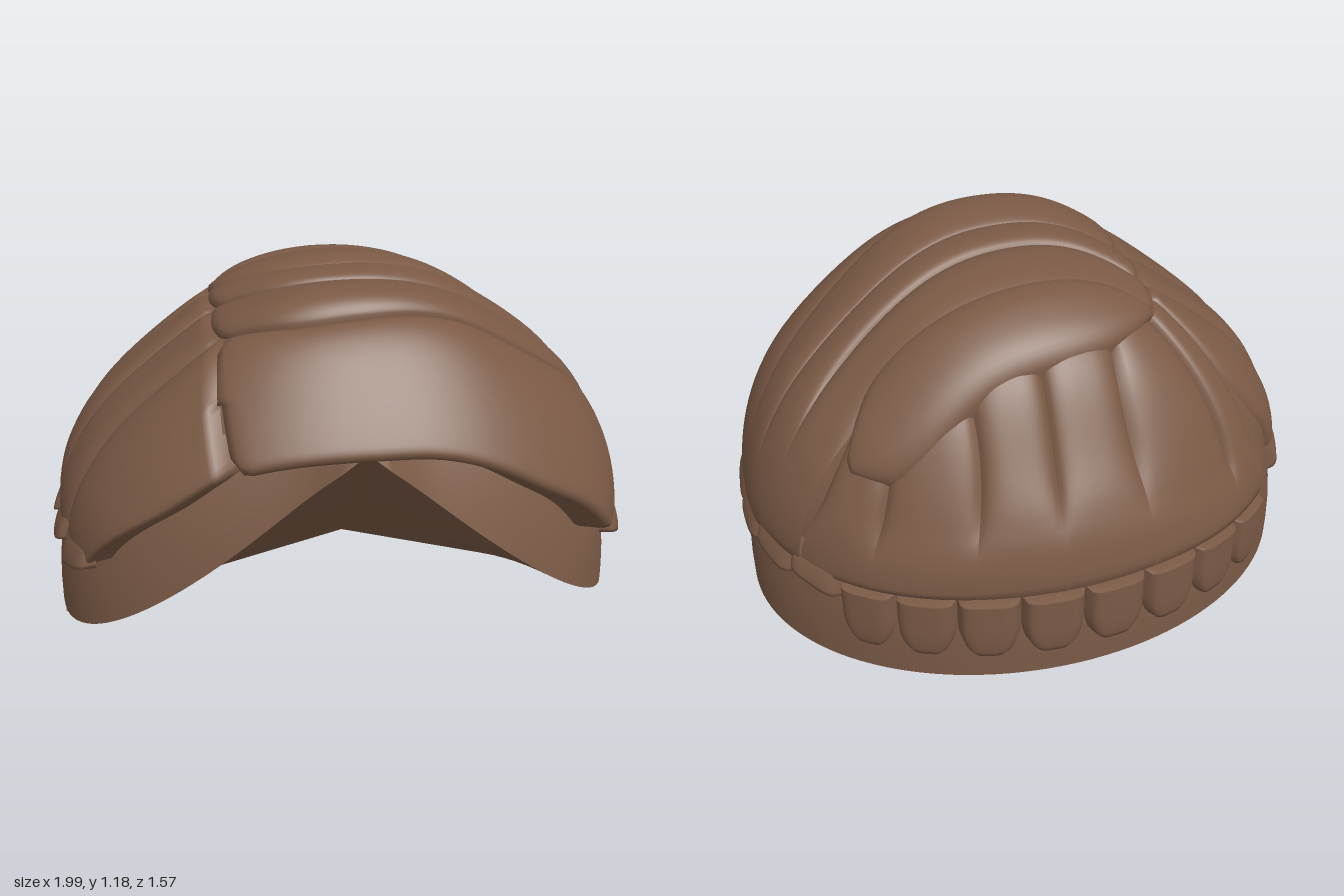
import * as THREE from 'three';

const hair = new THREE.MeshStandardMaterial({ color: 0x7b5a46, side: THREE.DoubleSide });
hair.name = 'brown hair';

const RX = 0.955, RY = 0.83, Y0 = 0.33;
const rz = z => (z > 0 ? 0.905 : 0.74);
const V = (x, y, z) => new THREE.Vector3(x, y, z);
const bell = (x, c, w) => Math.exp(-(((x - c) / w) ** 2));

// Smooth grid surface from a rule fn(u, v), wound to face away from the dome centre
function grid(name, fn, nu, nv) {
  const pos = [], idx = [];
  for (let i = 0; i <= nu; i++) for (let j = 0; j <= nv; j++) pos.push(...fn(i / nu, j / nv).toArray());
  const mid = fn(0.5, 0.5);
  const n = fn(0.52, 0.5).sub(mid).cross(fn(0.5, 0.52).sub(mid));
  const out = n.dot(mid.clone().sub(V(0, 0.3, 0))) > 0;
  for (let i = 0; i < nu; i++) for (let j = 0; j < nv; j++) {
    const a = i * (nv + 1) + j, b = a + nv + 1;
    if (out) idx.push(a, b, b + 1, a, b + 1, a + 1);
    else idx.push(a, b + 1, b, a, a + 1, b + 1);
  }
  const g = new THREE.BufferGeometry();
  g.setAttribute('position', new THREE.Float32BufferAttribute(pos, 3));
  g.setIndex(idx);
  g.computeVertexNormals();
  const m = new THREE.Mesh(g, hair);
  m.name = name;
  return m;
}

// Plan radius (1 at the rim): squarer at the front, elliptical at the back
function plan(x, z) {
  const p = z > 0 ? 2.4 : 2;
  return (Math.abs(x / RX) ** p + Math.abs(z / rz(z)) ** p) ** (1 / p);
}
// Pull a point onto the dome: rounded above Y0, upright wall below it
function snap(p) {
  const h = Math.max(0, (p.y - Y0) / RY), l = Math.hypot(plan(p.x, p.z), h);
  return V(p.x / l, p.y >= Y0 ? Y0 + RY * h / l : p.y, p.z / l);
}
const outward = p => V(p.x / RX ** 2, Math.max(0, p.y - Y0) / RY ** 2, p.z / rz(p.z) ** 2).normalize();

// Fuller quiff at the front, flatter nape, sloping shoulders
function shape(p) {
  if (p.y <= Y0) return p;
  const k = Math.min(1, (p.y - Y0) / 0.3);
  const lift = 0.1 * bell(p.z, 0.48, 0.2) - 0.08 * bell(p.z, -0.6, 0.12);
  p.y += k * (bell(p.x, 0, 0.6) * lift - 0.065 * bell(p.x, -0.65, 0.3) - 0.04 * bell(p.x, 0.62, 0.25));
  return p;
}

// [x, z] is read from above, [x, y, z] is a rough point in space
function edge(points) {
  return new THREE.CatmullRomCurve3(points.map(p => {
    if (p.length === 3) return snap(V(...p));
    const [x, z] = p, q = 1 - plan(x, z) ** 2;
    return snap(V(x, Y0 + RY * Math.sqrt(Math.max(0, q)), z));
  }), false, 'centripetal');
}

// Padded lock between two edges; fade smooths its creases away towards the tip,
// lip is the depth of a crisp edge turned straight inwards along b
function lock(name, a, b, o = {}) {
  const { h = 0.015, dip = 0.015, lip = 0, root = 0, tip = 0, ramp = 0.06, k = 3, fade = 0, nu = 36, nv = 18 } = o;
  const A = edge(a), B = edge(b);
  const round = (t, r) => (r && t < r ? Math.sqrt(Math.max(0, 1 - (1 - t / r) ** 2)) : 1);
  return grid(name, (u, v) => {
    const w = round(u, root) * round(1 - u, tip);
    const start = root ? Math.sqrt(round(u, root)) : THREE.MathUtils.smoothstep(u, 0, ramp);
    const e = start * Math.sqrt(round(1 - u, tip || 0.06));
    const p = snap(A.getPoint(u).lerp(B.getPoint(u), 0.5 + (v - 0.5) * w));
    const under = lip && v > 0.5;
    const depth = under ? lip : dip;
    let f = Math.max(0, 1 - Math.abs(2 * v - 1) ** (under ? 24 : k)) ** 0.6;
    if (fade && !under) f += (1 - f) * THREE.MathUtils.smoothstep(u, fade, fade + 0.25);
    const n = outward(p), d = -depth + (h + depth) * f * e;
    if (under && d < 0) n.y = 0;
    return shape(p).addScaledVector(n, d);
  }, nu, nv);
}

// Cap beneath the hair: outside wall, hollow brow and underside
const A0 = Math.asin(0.249);
function rim(t) {
  const c = Math.cos(t), s = Math.sin(t), e = s > 0 ? 1 / 1.2 : 1;
  const x = 0.985 * Math.sign(c) * Math.abs(c) ** e;
  const z = (s > 0 ? 0.7 : 0.74) * Math.sign(s) * Math.abs(s) ** e;
  if (z < 0.2199) return V(x, 0, z);
  return V(x, 0.77 * Math.max(0, 1 - Math.abs(x) / 0.96) ** 1.15, z + 0.06 * bell(x, 0, 0.12));
}
const ridge = x => V(x, Math.max(0, 0.25 * (1 - Math.abs(x) / 0.96)), 0.22);
const taper = y => (y < 0.05 ? 1 : Math.sqrt(Math.max(0, 1 - ((y - 0.05) / 1.07) ** 2)));

function cap() {
  const g = new THREE.Group();
  g.name = 'cap';
  const back = u => rim(A0 - u * (Math.PI + 2 * A0));
  const inner = u => {
    const r = back(u);
    return V(r.x * 0.98, 0.15 * Math.max(0, 1 - (r.x / 0.96) ** 2), r.z * 0.96);
  };
  g.add(
    grid('capWall', (u, v) => {
      const r = rim(u * Math.PI * 2), y = r.y + (1.08 - r.y) * Math.sin(v * Math.PI / 2);
      const k = taper(y) / taper(r.y);
      return V(r.x * k, y, r.z * k);
    }, 128, 24),
    grid('browHollow', (u, v) => {
      const r = rim(A0 + u * (Math.PI - 2 * A0));
      return r.clone().lerp(ridge(r.x), v);
    }, 64, 6),
    grid('innerBackWall', (u, v) => back(u).lerp(inner(u), v), 64, 2),
    grid('underside', (u, v) => {
      const p = inner(u);
      return p.clone().lerp(ridge(p.x), v);
    }, 64, 8),
    // Scalp just under the locks, cut higher over the brow and at the rear notch
    grid('scalp', (u, v) => {
      const t = u * Math.PI * 2, c = Math.cos(t), s = Math.sin(t);
      const low = s > 0 ? Math.max(0.04, 0.48 * Math.min(1, s * 1.25) ** 2) : 0.04 + 0.24 * bell(t, 3.67, 0.13);
      const a = Math.asin(low / RY), q = a + (Math.PI / 2 - a) * v;
      const p = snap(V(RX * c * Math.cos(q), Y0 + RY * Math.sin(q), rz(s) * s * Math.cos(q)));
      const n = outward(p);
      return shape(p).addScaledVector(n, -0.018);
    }, 96, 32));
  return g;
}

export function createModel() {
  const model = new THREE.Group();
  model.name = 'hairpiece';
  model.add(cap());

  // Swept bands running from the parting across to the left side
  const sweep = [
    [[-0.42, -0.25], [-0.1, -0.25], [0.3, -0.25], [0.65, -0.33], [0.84, 0.33, -0.36]],
    [[-0.43, -0.1], [-0.2, 0.05], [0.1, 0.06], [0.5, -0.05], [0.8, -0.2], [0.93, 0.33, -0.27]],
    [[-0.43, 0.1], [-0.2, 0.22], [0.1, 0.23], [0.5, 0.12], [0.88, -0.07], [0.95, 0.33, -0.13]],
    [[-0.43, 0.38], [-0.2, 0.5], [0, 0.51], [0.4, 0.42], [0.88, 0.1], [0.96, 0.33, 0.02]],
    [[-0.4, 0.7, 0.72], [-0.2, 0.725, 0.76], [0, 0.735, 0.78], [0.22, 0.72, 0.76], [0.42, 0.66, 0.73],
      [0.62, 0.55, 0.67], [0.8, 0.39, 0.58], [0.86, 0.33, 0.52]],
  ];
  for (let i = 0; i < 4; i++) {
    model.add(lock(i === 3 ? 'fringe' : 'sweptBand', sweep[i], sweep[i + 1],
      { h: 0.022, lip: i === 3 ? 0.1 : 0, root: 0.05, fade: 0.6, nu: 56, nv: 36 }));
  }

  // Locks falling to the right of the parting
  const side = [
    [[-0.4, -0.16], [-0.68, -0.33], [-0.92, 0.33, -0.27]],
    [[-0.4, -0.1], [-0.7, -0.08], [-0.97, 0.33, -0.1]],
    [[-0.4, 0.11], [-0.7, 0.13], [-0.97, 0.33, 0.1]],
    [[-0.4, 0.38], [-0.7, 0.36], [-0.94, 0.33, 0.3]],
    [[-0.38, 0.72, 0.72], [-0.6, 0.58, 0.65], [-0.8, 0.41, 0.57], [-0.86, 0.33, 0.52]],
  ];
  for (let i = 0; i < 4; i++) {
    model.add(lock('rightLock', side[i], side[i + 1], { h: 0.014, lip: i === 3 ? 0.08 : 0, nv: 28 }));
  }

  // Locks down the back
  const rear = [
    [[-0.4, -0.14], [-0.66, -0.36], [-0.74, 0.33, -0.46]],
    [[-0.36, -0.25], [-0.55, -0.45], [-0.6, 0.33, -0.57]],
    [[-0.2, -0.33], [-0.2, -0.5], [-0.25, 0.33, -0.72]],
    [[0.05, -0.35], [0.05, -0.55], [0.06, 0.33, -0.74]],
    [[0.28, -0.35], [0.28, -0.55], [0.34, 0.33, -0.69]],
    [[0.5, -0.36], [0.56, -0.48], [0.65, 0.33, -0.55]],
    [[0.6, -0.3], [0.72, -0.36], [0.84, 0.33, -0.36]],
  ];
  for (let i = 0; i < 6; i++) model.add(lock('backLock', rear[i], rear[i + 1], { fade: 0.6 }));

  // Long lock lying over the crown
  model.add(lock('crownLock',
    [[-0.4, -0.27], [-0.2, -0.4], [0.2, -0.46], [0.5, -0.5], [0.66, -0.42]],
    [[-0.4, -0.22], [-0.15, -0.15], [0.2, -0.16], [0.5, -0.21], [0.66, -0.34]],
    { h: 0.04, root: 0.15, tip: 0.2 }));

  // Tips along the lower edge: slanted at both sides, rounded at the back
  const ring = (a, y) => [RX * Math.cos(a), y, rz(Math.sin(a)) * Math.sin(a)];
  function tips(name, from, to, count, top, low1, low2, opts) {
    const step = (to - from) / count;
    for (let i = 0; i < count; i++) {
      const a = from + i * step, b = a + step;
      model.add(lock(name, [ring(a, top), ring(a, low1)], [ring(b, top), ring(b, low2)], { nu: 14, nv: 14, ...opts }));
    }
  }
  tips('leftTip', 0.58, -0.7, 5, 0.44, 0.325, 0.265, { h: 0.04, ramp: 1, k: 6 });
  tips('rightTip', Math.PI - 0.58, Math.PI + 0.38, 4, 0.44, 0.32, 0.25, { h: 0.04, ramp: 1, k: 6 });
  tips('backTip', -0.7, -2.46, 8, 0.35, 0.1, 0.1, { h: 0.042, dip: 0.005, tip: 0.45, k: 5 });
  return model;
}
